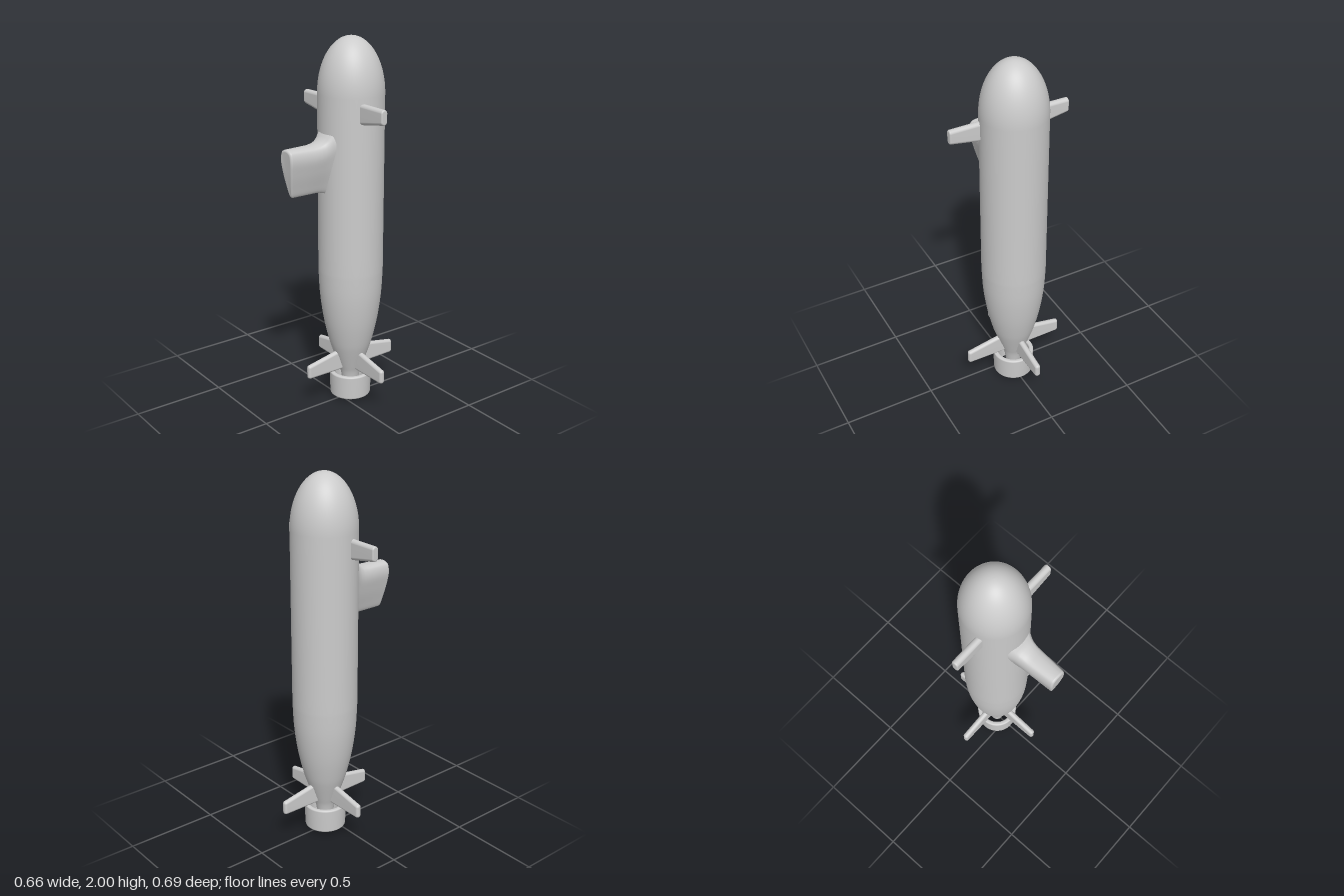
import * as THREE from 'three';

const AXIS_Z = -0.06;
const material = new THREE.MeshStandardMaterial({ color: 0xcccccc, roughness: 0.6 });

function addMesh(parent, name, geometry) {
  const mesh = new THREE.Mesh(geometry, material);
  mesh.name = name;
  parent.add(mesh);
  return mesh;
}

// Outline with full-round edges; section = { z, top, bottom, half }
function stadium({ top, bottom, half }) {
  const points = [];
  const mid = (top + bottom) / 2;
  const straight = Math.max((top - bottom) / 2 - half, 0);
  for (let i = 0; i < 32; i++) {
    const a = ((i + 0.5) / 32) * Math.PI * 2;
    const s = Math.sin(a);
    points.push([half * Math.cos(a), mid + Math.sign(s) * straight + half * s]);
  }
  return points;
}

// Blunt leading edge at the top, narrow trailing edge at the bottom
const side = [[0.18, 0.97], [0.42, 0.8], [0.78, 0.5], [1, 0.22], [0.88, 0.08], [0.5, 0.01]];
const mirrored = side.map(([x, u]) => [-x, u]).reverse();
const teardropCurve = new THREE.CatmullRomCurve3(
  [...side, ...mirrored, [0, 1]].map(([x, u]) => new THREE.Vector3(x, u, 0)), true);
const teardropPoints = teardropCurve.getSpacedPoints(64).slice(0, 64);

function teardrop({ top, bottom, half }) {
  return teardropPoints.map((p) => [p.x * half, top + (bottom - top) * p.y]);
}

// Skin sections along +z and round over the closed tip
function loft(sections, outline, tipRadius) {
  const tip = sections[sections.length - 1];
  const all = sections.slice(0, -1);
  for (let k = 0; k <= 6; k++) {
    const a = (k / 6) * Math.PI / 2;
    const inset = tipRadius * (1 - Math.cos(a));
    all.push({
      z: tip.z - tipRadius * (1 - Math.sin(a)),
      top: tip.top - inset, bottom: tip.bottom + inset, half: tip.half - inset,
    });
  }
  const positions = [];
  const index = [];
  let n = 0;
  all.forEach((s) => {
    const ring = outline(s);
    n = ring.length;
    ring.forEach(([x, y]) => positions.push(x, y, s.z));
  });
  const center = all.length * n;
  positions.push(0, (tip.top + tip.bottom) / 2, tip.z);
  for (let i = 0; i < all.length; i++) {
    for (let j = 0; j < n; j++) {
      const a = i * n + j;
      const b = i * n + (j + 1) % n;
      if (i === all.length - 1) index.push(a, b, center);
      else index.push(a, b, b + n, a, b + n, a + n);
    }
  }
  const geometry = new THREE.BufferGeometry();
  geometry.setAttribute('position', new THREE.Float32BufferAttribute(positions, 3));
  geometry.setIndex(index);
  geometry.computeVertexNormals();
  return geometry;
}

function hullGeometry() {
  // Hub end, tapered tail, straight body, elliptical nose
  const tail = new THREE.SplineCurve([
    [0.036, 0.035], [0.045, 0.1], [0.055, 0.155], [0.07, 0.2], [0.101, 0.29], [0.119, 0.35],
    [0.142, 0.45], [0.158, 0.55], [0.168, 0.65], [0.173, 0.77],
  ].map(([r, y]) => new THREE.Vector2(r, y)));
  const points = [];
  for (let i = 0; i < 8; i++) {
    const a = (i / 8) * Math.PI / 2;
    points.push(new THREE.Vector2(0.036 * Math.sin(a), 0.035 - 0.035 * Math.cos(a)));
  }
  points.push(...tail.getPoints(36), new THREE.Vector2(0.173, 0.85), new THREE.Vector2(0.173, 1.6));
  for (let i = 0; i <= 24; i++) {
    const a = (i / 24) * Math.PI / 2;
    points.push(new THREE.Vector2(i === 24 ? 0 : 0.173 * Math.cos(a), 1.71 + 0.29 * Math.sin(a)));
  }
  return new THREE.LatheGeometry(points, 64);
}

function shroudGeometry() {
  // Rounded ring section, followed outer side up and inner side down
  const r = 0.009;
  const corners = [[0.102, 0.027, -90], [0.106, 0.146, 0], [0.098, 0.146, 90], [0.096, 0.027, 180]];
  const points = [];
  corners.forEach(([x, y, start]) => {
    for (let k = 0; k <= 4; k++) {
      const a = THREE.MathUtils.degToRad(start + k * 22.5);
      points.push(new THREE.Vector2(x + r * Math.cos(a), y + r * Math.sin(a)));
    }
  });
  points.push(points[0].clone());
  return new THREE.LatheGeometry(points, 64);
}

function sailGeometry() {
  // Flared foot blending into the hull, then a tapering blade
  const sections = [
    [0.05, 1.565, 1.185, 0.1], [0.085, 1.55, 1.195, 0.086], [0.105, 1.53, 1.205, 0.076],
    [0.12, 1.508, 1.212, 0.069], [0.14, 1.489, 1.217, 0.065], [0.165, 1.478, 1.22, 0.062],
    [0.2, 1.473, 1.22, 0.06], [0.26, 1.472, 1.22, 0.056], [0.345, 1.471, 1.22, 0.05],
  ].map(([z, top, bottom, half]) => ({ z, top, bottom, half }));
  const geometry = loft(sections, teardrop, 0.012);
  // Sweep the tip back towards the trailing edge
  const p = geometry.attributes.position;
  for (let i = 0; i < p.count; i++) {
    const drop = Math.max(0, (1.42 - p.getY(i)) / 0.2);
    const reach = THREE.MathUtils.clamp((p.getZ(i) - 0.15) / 0.19, 0, 1);
    p.setZ(i, p.getZ(i) - 0.027 * reach * Math.pow(drop, 1.5));
  }
  geometry.computeVertexNormals();
  return geometry;
}

export function createModel() {
  const model = new THREE.Group();
  model.name = 'submarine';

  addMesh(model, 'hull', hullGeometry()).position.z = AXIS_Z;
  addMesh(model, 'propulsorShroud', shroudGeometry()).position.z = AXIS_Z;
  addMesh(model, 'sail', sailGeometry());

  // Four tail fins in a cross
  const tailFin = loft([
    { z: 0.03, top: 0.302, bottom: 0.176, half: 0.016 },
    { z: 0.12, top: 0.286, bottom: 0.176, half: 0.016 },
    { z: 0.287, top: 0.257, bottom: 0.178, half: 0.016 },
  ], stadium, 0.014);
  for (let i = 0; i < 4; i++) {
    const fin = addMesh(model, `tailFin${i + 1}`, tailFin);
    fin.position.z = AXIS_Z;
    fin.rotation.y = i * Math.PI / 2;
  }

  // Pair of bow planes
  const bowPlane = loft([
    { z: 0.1, top: 1.686, bottom: 1.569, half: 0.019 },
    { z: 0.17, top: 1.685, bottom: 1.58, half: 0.019 },
    { z: 0.33, top: 1.684, bottom: 1.606, half: 0.019 },
  ], stadium, 0.008);
  for (const s of [1, -1]) {
    const plane = addMesh(model, s > 0 ? 'leftBowPlane' : 'rightBowPlane', bowPlane);
    plane.position.z = -0.013;
    plane.rotation.y = s * Math.PI / 2;
  }
  return model;
}
